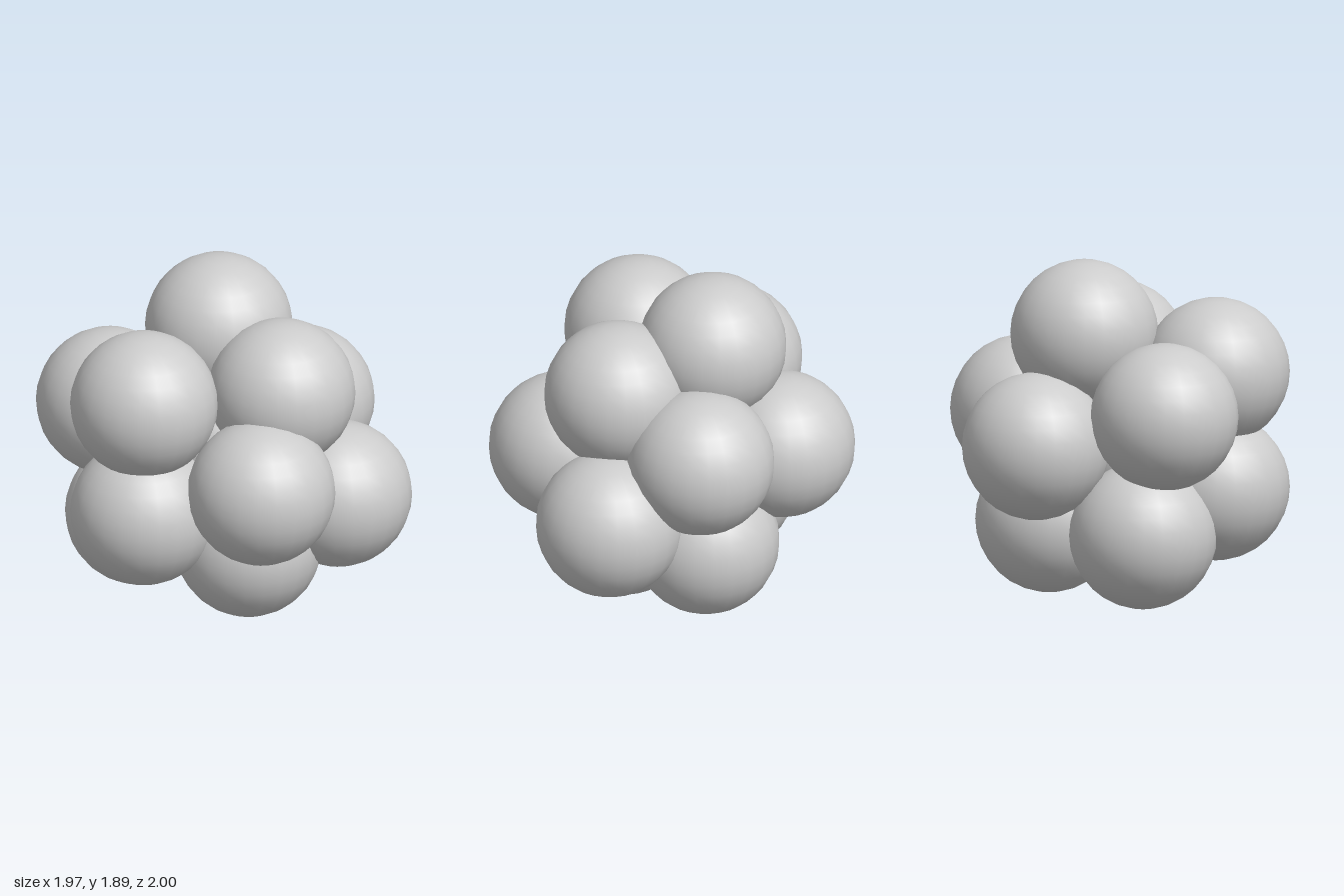
import * as THREE from 'three';

// Cluster of overlapping balls: one in front, a ring of five, a second ring of five, one behind
const RADIUS = 0.402;
const LAYERS = {
  frontBall: [[0.08, 0.853, 0.595]],
  frontRingBall: [
    [-0.5, 1.288, 0.265],
    [0.265, 1.288, 0.265],
    [0.58, 0.655, 0.265],
    [0.08, 0.405, 0.265],
    [-0.5, 0.65, 0.265],
  ],
  coreBall: [[0.02, 0.9, 0]],
  backRingBall: [
    [0.025, 1.495, -0.22],
    [0.48, 1.02, -0.22],
    [0.29, 0.435, -0.22],
    [-0.42, 0.435, -0.22],
    [-0.582, 1.11, -0.22],
  ],
  backBall: [[0.025, 0.92, -0.597]],
};

export function createModel() {
  const model = new THREE.Group();
  model.name = 'ballCluster';
  const material = new THREE.MeshStandardMaterial({ color: 0xcccccc });
  const ball = new THREE.SphereGeometry(RADIUS, 24, 16);

  for (const [name, centres] of Object.entries(LAYERS)) {
    centres.forEach((centre, i) => {
      const mesh = new THREE.Mesh(ball, material);
      mesh.name = centres.length > 1 ? `${name}${i + 1}` : name;
      mesh.position.set(...centre);
      model.add(mesh);
    });
  }
  return model;
}
